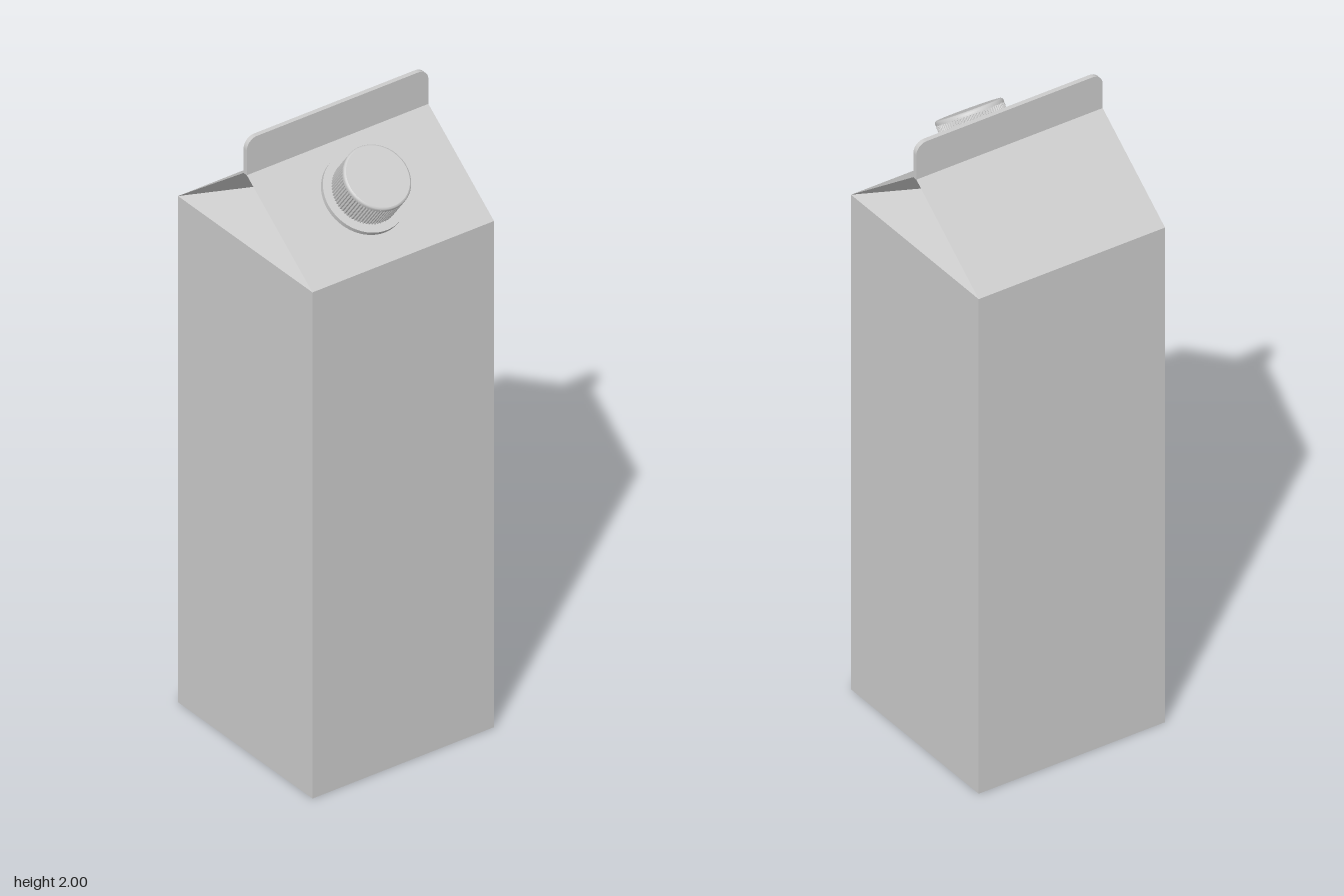
import * as THREE from 'three';

const W = 0.313;      // half width of the carton
const EAVE = 1.655;   // top of the straight walls
const RIDGE = 1.89;   // top of the sloped roof
const FOLD_Y = 1.775; // inner point of the tucked gable
const FOLD_X = W - 0.25;

const grey = (options = {}) => new THREE.MeshStandardMaterial({ color: 0xcccccc, ...options });

function add(parent, name, geometry, material = grey()) {
  const mesh = new THREE.Mesh(geometry, material);
  mesh.name = name;
  parent.add(mesh);
  return mesh;
}

// Flat triangles from lists of corner points
function facets(triangles) {
  const g = new THREE.BufferGeometry();
  g.setAttribute('position', new THREE.Float32BufferAttribute(triangles.flat(2), 3));
  g.computeVertexNormals();
  return g;
}

// One roof slope; s = 1 for the front, -1 for the back
function roofSlope(s) {
  const a = [-W * s, EAVE, W * s], b = [W * s, EAVE, W * s];
  const c = [W * s, RIDGE, 0], d = [-W * s, RIDGE, 0];
  return facets([[a, b, c], [a, c, d]]);
}

// Tucked gable end; s = 1 for the left, -1 for the right (a half turn of it)
function gable(s) {
  const apex = [W * s, RIDGE, 0], inner = [FOLD_X * s, FOLD_Y, 0];
  const f = [W * s, EAVE, W * s], b = [W * s, EAVE, -W * s];
  return facets([[f, b, inner], [apex, f, inner], [apex, inner, b]]);
}

// Sealed fin with rounded top corners
function finGeometry() {
  const r = 0.035, t = 0.015, y0 = RIDGE - 0.006;
  const s = new THREE.Shape();
  s.moveTo(-W, y0);
  s.lineTo(W, y0);
  s.lineTo(W, 2 - r);
  s.absarc(W - r, 2 - r, r, 0, Math.PI / 2);
  s.lineTo(-W + r, 2);
  s.absarc(-W + r, 2 - r, r, Math.PI / 2, Math.PI);
  s.closePath();
  return new THREE.ExtrudeGeometry(s, { depth: t, bevelEnabled: false, curveSegments: 10 })
    .translate(0, 0, -t / 2);
}

// Ribbed side of the cap
function ribbedGeometry(ribs, rOut, rIn, height) {
  const pts = [];
  for (let i = 0; i < ribs * 4; i++) {
    const a = (i / (ribs * 4)) * Math.PI * 2;
    const r = i % 4 < 2 ? rOut : rIn;
    pts.push(new THREE.Vector2(r * Math.cos(a), r * Math.sin(a)));
  }
  return new THREE.ExtrudeGeometry(new THREE.Shape(pts), { depth: height, bevelEnabled: false })
    .rotateX(-Math.PI / 2);
}

export function createModel() {
  const model = new THREE.Group();
  model.name = 'carton';

  const walls = new THREE.BoxGeometry(2 * W, EAVE, 2 * W).translate(0, EAVE / 2, 0);
  add(model, 'walls', walls);

  add(model, 'frontRoof', roofSlope(1));
  add(model, 'backRoof', roofSlope(-1));
  add(model, 'leftGable', gable(1));
  add(model, 'rightGable', gable(-1));
  add(model, 'topFin', finGeometry());

  // Spout and screw cap, standing square on the front slope
  const spout = new THREE.Group();
  spout.name = 'spout';
  const z = 0.145;
  spout.position.set(-0.013, RIDGE - (z * (RIDGE - EAVE)) / W, z);
  spout.rotation.x = Math.atan2(RIDGE - EAVE, W);
  model.add(spout);

  add(spout, 'flange', new THREE.CylinderGeometry(0.126, 0.126, 0.02, 64).translate(0, 0.005, 0));
  add(spout, 'capSide', ribbedGeometry(72, 0.101, 0.098, 0.105));
  const crown = [[0.101, 0.1], [0.101, 0.107], [0.099, 0.111], [0.095, 0.113]]
    .map(([r, y]) => new THREE.Vector2(r, y));
  add(spout, 'capRim', new THREE.LatheGeometry(crown, 64));
  add(spout, 'capTop', new THREE.CircleGeometry(0.095, 64).rotateX(-Math.PI / 2).translate(0, 0.113, 0));

  return model;
}
